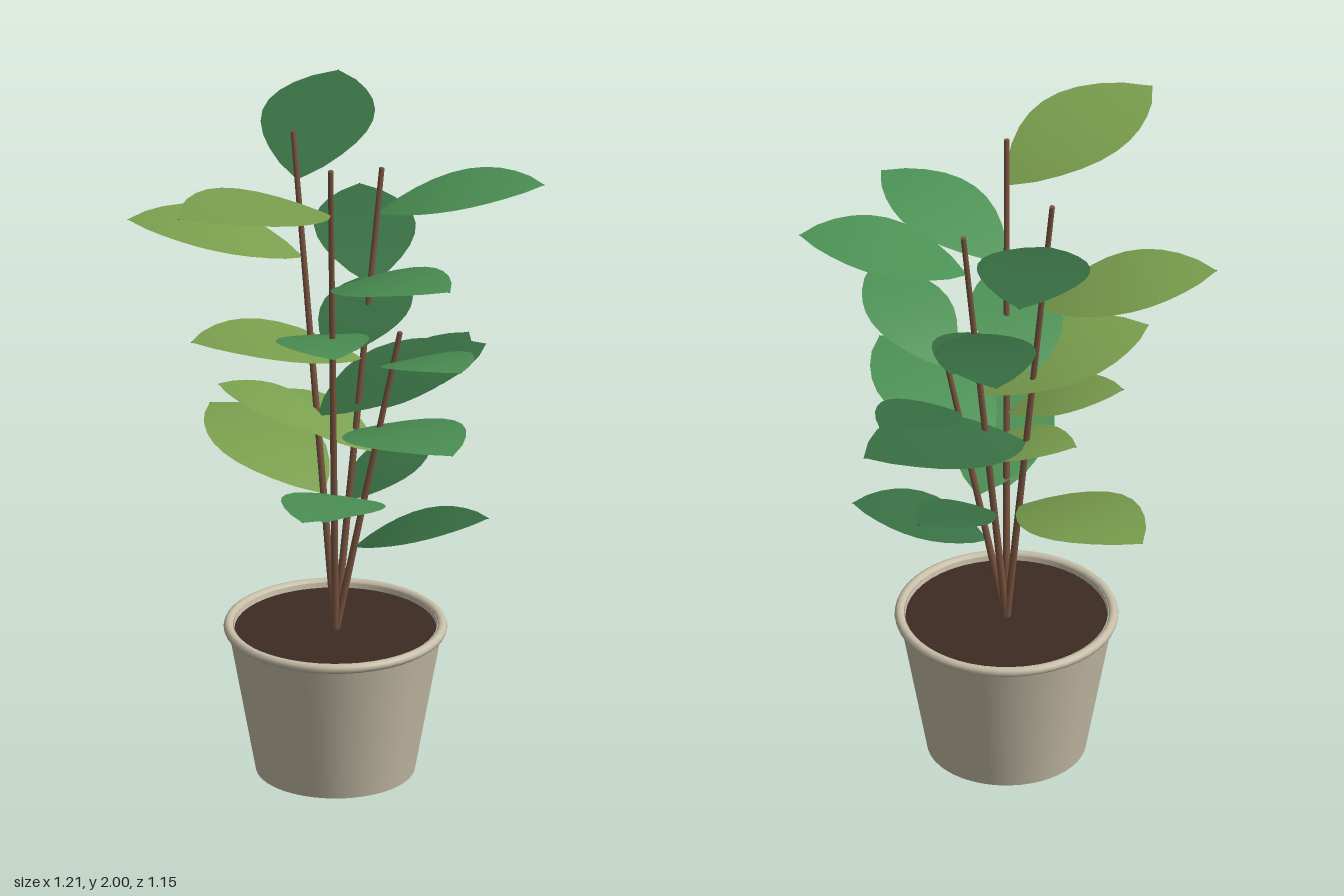
import * as THREE from 'three';

const V = (x, y, z) => new THREE.Vector3(x, y, z);
const mat = (color, side = THREE.FrontSide) => new THREE.MeshStandardMaterial({ color, side });

const CX = 0.065, CZ = 0.005; // pot axis
const ROOT = V(CX, 0.43, CZ);

const potMat = mat(0xc8bfa9);
const soilMat = mat(0x3d2b22);
const stemMat = mat(0x7a5540);
// leaf tones: 0 olive, 1 mid green, 2 dark green
const leafMats = [0x7a9f4e, 0x4c9155, 0x386f43].map(c => mat(c, THREE.DoubleSide));
const ribMats = [0x5d7a3a, 0x376c3f, 0x294f30].map(c => mat(c));

function add(parent, name, geometry, material) {
  const mesh = new THREE.Mesh(geometry, material);
  mesh.name = name;
  parent.add(mesh);
  return mesh;
}

// Tapered round rod between two points
function rod(parent, name, a, b, r0, r1, sides, material) {
  const dir = b.clone().sub(a);
  const mesh = add(parent, name, new THREE.CylinderGeometry(r1, r0, dir.length(), sides), material);
  mesh.position.copy(a).add(b).multiplyScalar(0.5);
  mesh.quaternion.setFromUnitVectors(V(0, 1, 0), dir.normalize());
  return mesh;
}

// Pointed oval blade, arched along its length above a straight midrib
function makeLeaf(base, tip, tone) {
  const leaf = new THREE.Group();
  leaf.name = 'leaf';
  const chord = tip.clone().sub(base);
  const length = Math.hypot(chord.x, chord.z);
  const across = V(chord.z, 0, -chord.x).normalize();
  const geo = new THREE.PlaneGeometry(1, 1, 2, 10);
  const pos = geo.attributes.position;
  for (let i = 0; i < pos.count; i++) {
    const t = 0.5 + pos.getY(i);
    const half = 0.315 * length * Math.pow(Math.max(0, Math.sin(Math.PI * t)), 0.8);
    const p = base.clone().addScaledVector(chord, t).addScaledVector(across, pos.getX(i) * 2 * half);
    p.y += 0.24 * length * t * (1 - t);
    pos.setXYZ(i, p.x, p.y, p.z);
  }
  // wind the faces so that the upper side is the front
  const idx = geo.index.array;
  for (let i = 0; i < idx.length; i += 3) [idx[i], idx[i + 1]] = [idx[i + 1], idx[i]];
  geo.computeVertexNormals();
  const normal = geo.attributes.normal;
  if (normal.getY(16) < 0) {
    for (let i = 0; i < idx.length; i += 3) [idx[i], idx[i + 1]] = [idx[i + 1], idx[i]];
    geo.computeVertexNormals();
  }
  add(leaf, 'leafBlade', geo, leafMats[tone]);
  rod(leaf, 'leafMidrib', base, tip, 0.003, 0.0015, 4, ribMats[tone]);
  return leaf;
}

// Each stem: its top, the tone of its highest leaf, and
// leaves from top to bottom as [height on stem, tip x, y, z]
const STEMS = [
  { top: V(-0.075, 2.0, 0.13), tone: 0, leaves: [
    [1.85, -0.605, 1.975, 0.03], [1.6, -0.01, 1.73, 0.57], [1.36, 0.385, 1.48, -0.06],
    [1.11, -0.18, 1.23, -0.24], [0.86, -0.265, 0.98, 0.3]] },
  { top: V(0.08, 1.98, -0.19), tone: 2, leaves: [
    [1.83, 0.525, 1.955, -0.46], [1.59, -0.295, 1.71, -0.505], [1.35, -0.175, 1.46, 0.25],
    [1.1, 0.6, 1.225, 0.09], [0.86, 0.11, 0.975, -0.575]] },
  { top: V(0.255, 1.87, 0.005), tone: 1, leaves: [
    [1.73, 0.545, 1.85, 0.395], [1.51, 0.515, 1.625, -0.36], [1.28, -0.295, 1.4, -0.235],
    [1.06, 0.03, 1.18, 0.54], [0.84, 0.45, 0.95, 0.01]] },
  { top: V(0.185, 1.41, 0.155), tone: 1, leaves: [
    [1.31, 0.06, 1.44, 0.545], [1.16, 0.52, 1.29, 0.1], [1.02, 0.04, 1.14, -0.25],
    [0.865, -0.32, 0.985, 0.265], [0.71, 0.35, 0.825, 0.36]] },
];

export function createModel() {
  const model = new THREE.Group();
  model.name = 'pottedPlant';

  // Tapered pot with a closed base and an inner wall
  const wall = [[0, 0], [0.235, 0], [0.235, 0], [0.315, 0.445], [0.315, 0.445],
    [0.3, 0.46], [0.3, 0.46], [0.292, 0.41]];
  const pot = add(model, 'pot', new THREE.LatheGeometry(wall.map(p => new THREE.Vector2(...p)), 48), potMat);
  pot.position.set(CX, 0, CZ);

  // Rounded rim bead
  const rim = add(model, 'potRim', new THREE.TorusGeometry(0.315, 0.015, 10, 48), potMat);
  rim.rotation.x = Math.PI / 2;
  rim.position.set(CX, 0.453, CZ);

  // Soil
  const soil = add(model, 'soil', new THREE.CylinderGeometry(0.298, 0.293, 0.02, 48), soilMat);
  soil.position.set(CX, 0.435, CZ);

  // Stems with leaves turning around them; the tones repeat in threes
  for (const { top, tone, leaves } of STEMS) {
    const plant = new THREE.Group();
    plant.name = 'stemWithLeaves';
    model.add(plant);
    rod(plant, 'stem', ROOT, top, 0.011, 0.008, 8, stemMat);
    leaves.forEach(([y, ...tip], i) => {
      const base = ROOT.clone().lerp(top, (y - ROOT.y) / (top.y - ROOT.y));
      plant.add(makeLeaf(base, V(...tip), (tone + i) % 3));
    });
  }
  return model;
}
